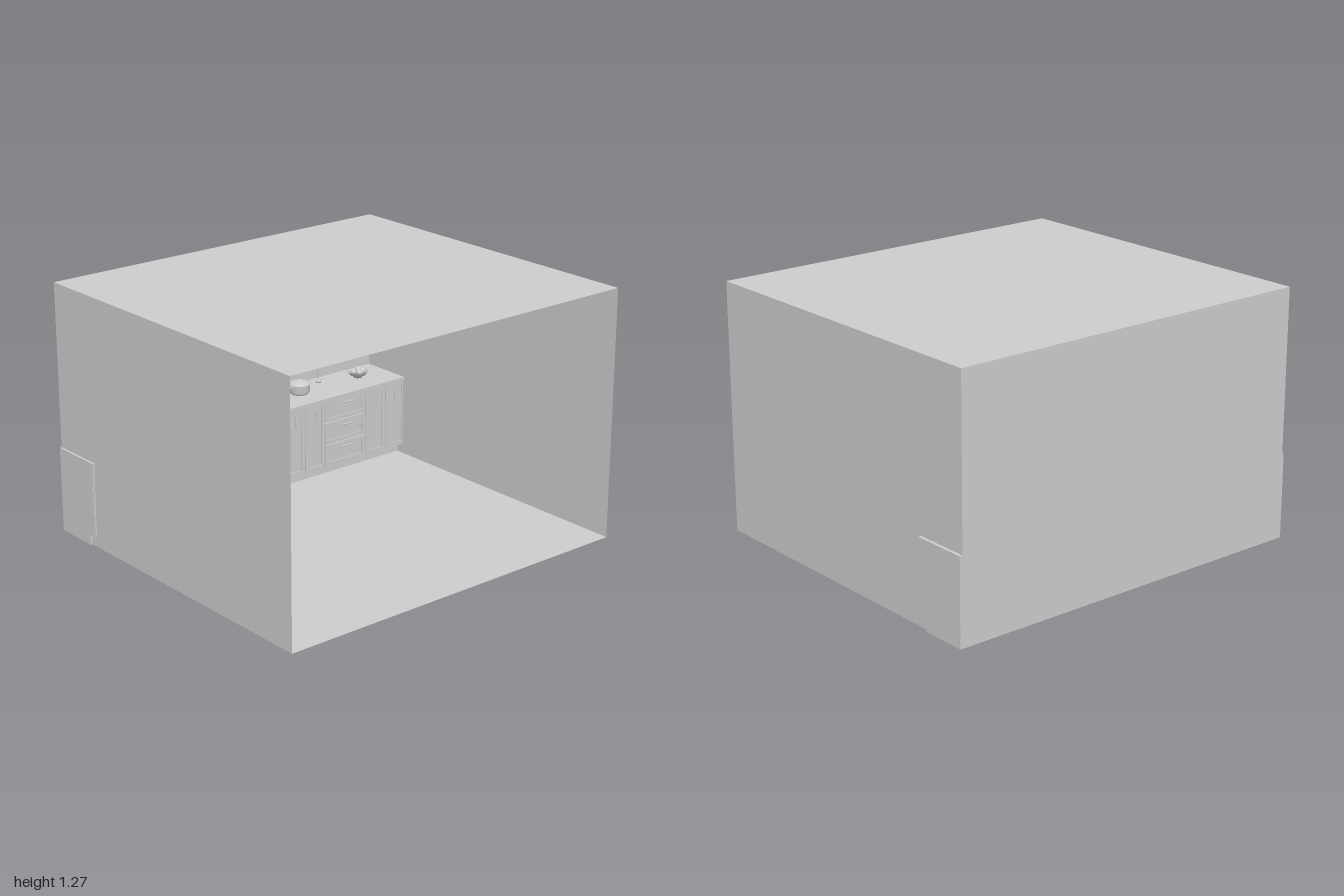
import * as THREE from 'three';

const grey = new THREE.MeshStandardMaterial({ color: 0xcccccc, side: THREE.DoubleSide });
grey.name = 'plain grey';

function add(parent, name, geometry, x = 0, y = 0, z = 0) {
  const mesh = new THREE.Mesh(geometry, grey);
  mesh.name = name;
  mesh.position.set(x, y, z);
  parent.add(mesh);
  return mesh;
}

// Box given by its limits on each axis
function box(parent, name, x0, x1, y0, y1, z0, z1) {
  return add(parent, name, new THREE.BoxGeometry(x1 - x0, y1 - y0, z1 - z0),
    (x0 + x1) / 2, (y0 + y1) / 2, (z0 + z1) / 2);
}

function lathe(parent, name, profile, x, y, z) {
  const points = profile.map(([r, h]) => new THREE.Vector2(r, h));
  return add(parent, name, new THREE.LatheGeometry(points, 24), x, y, z);
}

function tube(parent, name, points, r) {
  const curve = new THREE.CatmullRomCurve3(points.map(p => new THREE.Vector3(...p)));
  return add(parent, name, new THREE.TubeGeometry(curve, 20, r, 8));
}

const BACK = -0.89, FRONT = -0.615, TOP = 0.435;

// Open-fronted room made of thin sheets
function addRoom(root) {
  const room = new THREE.Group();
  room.name = 'room';
  root.add(room);
  const w = 1.975, h = 1.27, d = 1.78, cx = -0.0025;
  add(room, 'backWall', new THREE.PlaneGeometry(w, h), cx, h / 2, BACK);
  for (const [name, y, turn] of [['floor', 0, -1], ['ceiling', h, 1]])
    add(room, name, new THREE.PlaneGeometry(w, d), cx, y, 0).rotation.x = turn * Math.PI / 2;
  for (const [name, s] of [['rightWall', -1], ['leftWall', 1]])
    add(room, name, new THREE.PlaneGeometry(d, h), cx + s * w / 2, h / 2, 0).rotation.y = -s * Math.PI / 2;
  box(room, 'wallTrim', -0.99, 0.985, 0.705, 0.715, BACK, BACK + 0.01);
}

// Framed front with a recessed panel
function addFront(parent, name, x0, x1, y0, y1) {
  const g = new THREE.Group();
  g.name = name;
  parent.add(g);
  const gap = 0.002, f = 0.022, z0 = FRONT - 0.005, z1 = FRONT + 0.006;
  x0 += gap; x1 -= gap; y0 += gap; y1 -= gap;
  box(g, 'panel', x0 + f, x1 - f, y0 + f, y1 - f, z0, FRONT);
  for (const [a, b] of [[x0, x0 + f], [x1 - f, x1]]) box(g, 'stile', a, b, y0, y1, z0, z1);
  for (const [a, b] of [[y0, y0 + f], [y1 - f, y1]]) box(g, 'rail', x0 + f, x1 - f, a, b, z0, z1);
  return g;
}

// Bar handle on two posts
function addHandle(parent, x, y, z, length, upright, r = 0.004) {
  const g = new THREE.Group();
  g.name = 'handle';
  g.position.set(x, y, z);
  if (!upright) g.rotation.z = Math.PI / 2;
  parent.add(g);
  add(g, 'bar', new THREE.CylinderGeometry(r, r, length, 10), 0, 0, 0.014);
  for (const s of [-1, 1])
    box(g, 'post', -r / 2, r / 2, s * length * 0.38 - r / 2, s * length * 0.38 + r / 2, 0, 0.014);
}

// Run of base cabinets: two doors, three drawers, two doors
function addCabinets(root, name, x0, x1, cuts, handles) {
  const g = new THREE.Group();
  g.name = name;
  root.add(g);
  box(g, 'carcass', x0, x1, 0.05, 0.418, BACK, FRONT - 0.005);
  box(g, 'plinth', x0, x1, 0, 0.05, BACK, -0.65);
  box(g, 'worktop', x0, x1, 0.418, TOP, BACK, -0.6);
  cuts.slice(0, -1).forEach((a, i) => {
    const b = cuts[i + 1], z = FRONT + 0.006;
    if (i === 2) {
      for (let k = 0; k < 3; k++) {
        const y = 0.05 + k * 0.1225;
        addFront(g, 'drawer', a, b, y, y + 0.1225);
        addHandle(g, (a + b) / 2, y + 0.096, z, 0.075, false);
      }
    } else {
      addFront(g, 'door', a, b, 0.05, 0.4175);
      addHandle(g, handles[i], 0.345, FRONT, 0.07, true);
    }
  });
}

// Tall fridge with two doors
function addFridge(root) {
  const g = new THREE.Group();
  g.name = 'fridge';
  root.add(g);
  box(g, 'base', -0.15, 0.145, 0, 0.03, BACK, -0.6);
  box(g, 'body', -0.165, 0.16, 0.03, 0.895, BACK, -0.605);
  box(g, 'topCap', -0.165, 0.16, 0.878, 0.895, -0.605, -0.575);
  box(g, 'lowerDoor', -0.162, 0.157, 0.04, 0.32, -0.602, -0.57);
  box(g, 'upperDoor', -0.162, 0.157, 0.33, 0.875, -0.602, -0.57);
  addHandle(g, -0.147, 0.458, -0.57, 0.195, true, 0.006);
  addHandle(g, -0.147, 0.203, -0.57, 0.175, true, 0.006);
}

// Wall shelf with stacked bowls and a vase
function addShelf(root) {
  const g = new THREE.Group();
  g.name = 'shelf';
  root.add(g);
  box(g, 'board', -0.865, -0.305, 0.743, 0.757, BACK, -0.72);
  for (const x of [-0.82, -0.35]) {
    box(g, 'bracketArm', x - 0.006, x + 0.006, 0.733, 0.743, BACK, -0.74);
    box(g, 'bracketFoot', x - 0.006, x + 0.006, 0.71, 0.743, BACK, BACK + 0.012);
  }
  for (let i = 0; i < 4; i++)
    lathe(g, 'bowl', [[0, 0], [0.02, 0], [0.032, 0.008], [0.041, 0.022], [0.038, 0.022], [0.028, 0.01], [0, 0.006]],
      -0.785, 0.757 + i * 0.012, -0.8);
  lathe(g, 'vase', [[0, 0], [0.014, 0], [0.022, 0.018], [0.025, 0.038], [0.02, 0.058], [0.01, 0.073], [0.013, 0.088], [0.008, 0.073]],
    -0.585, 0.757, -0.8);
}

function addJar(parent, x, r, h) {
  lathe(parent, 'jar', [[0, 0], [r * 0.92, 0], [r, 0.005], [r, h * 0.78], [r * 0.88, h * 0.84], [r * 0.88, h * 0.86],
    [r * 0.96, h * 0.86], [r * 0.96, h], [0, h]], x, TOP, -0.76);
}

// Things standing on the worktops
function addWorktopItems(root) {
  const g = new THREE.Group();
  g.name = 'worktopItems';
  root.add(g);
  const z = -0.76;
  lathe(g, 'plantPot', [[0, 0], [0.024, 0], [0.029, 0.045], [0.033, 0.045], [0.033, 0.06], [0.028, 0.06], [0.027, 0.052], [0, 0.052]], -0.745, TOP, z);
  addJar(g, -0.51, 0.025, 0.08);
  addJar(g, -0.445, 0.02, 0.063);
  addJar(g, 0.29, 0.026, 0.08);
  const board = box(g, 'choppingBoard', -0.385, -0.26, TOP, 0.622, -0.873, -0.858);
  board.rotation.x = -0.08;

  // Lidded cooking pot
  lathe(g, 'cookingPot', [[0, 0], [0.046, 0], [0.055, 0.012], [0.056, 0.052], [0.058, 0.056], [0.045, 0.063], [0.02, 0.068], [0.005, 0.069],
    [0.008, 0.078], [0, 0.08]], 0.395, TOP, z);
  for (const s of [-1, 1])
    box(g, 'potHandle', 0.395 + s * 0.062 - 0.008, 0.395 + s * 0.062 + 0.008, TOP + 0.042, TOP + 0.049, z - 0.015, z + 0.015);

  // Arched tap with a side lever
  lathe(g, 'tapBase', [[0, 0], [0.014, 0], [0.012, 0.008], [0.007, 0.02], [0, 0.02]], 0.58, TOP, -0.83);
  tube(g, 'tapSpout', [[0.58, TOP, -0.83], [0.58, 0.54, -0.83], [0.58, 0.585, -0.805], [0.58, 0.585, -0.765], [0.58, 0.545, -0.745]], 0.005);
  tube(g, 'tapLever', [[0.58, TOP + 0.012, -0.83], [0.6, TOP + 0.014, -0.83], [0.615, TOP + 0.026, -0.83]], 0.004);

  // Fruit bowl
  lathe(g, 'fruitBowl', [[0, 0], [0.022, 0], [0.024, 0.006], [0.042, 0.016], [0.056, 0.034], [0.053, 0.034], [0.038, 0.02], [0, 0.012]], 0.795, TOP, z);
  for (let i = 0; i < 4; i++) {
    const a = i * Math.PI / 2 + 0.4, r = i === 3 ? 0 : 0.024;
    add(g, 'fruit', new THREE.SphereGeometry(0.018, 14, 10), 0.795 + r * Math.cos(a), TOP + (r ? 0.032 : 0.043), z + r * Math.sin(a));
  }
}

export function createModel() {
  const root = new THREE.Group();
  root.name = 'kitchen';
  addRoom(root);
  addCabinets(root, 'rightCabinets', -1, -0.18, [-1, -0.86, -0.73, -0.455, -0.315, -0.18], [-0.93, -0.8, 0, -0.35, -0.25]);
  addCabinets(root, 'leftCabinets', 0.175, 1, [0.175, 0.31, 0.445, 0.72, 0.86, 1], [0.245, 0.375, 0, 0.79, 0.92]);
  addFridge(root);
  addShelf(root);
  addWorktopItems(root);
  return root;
}
